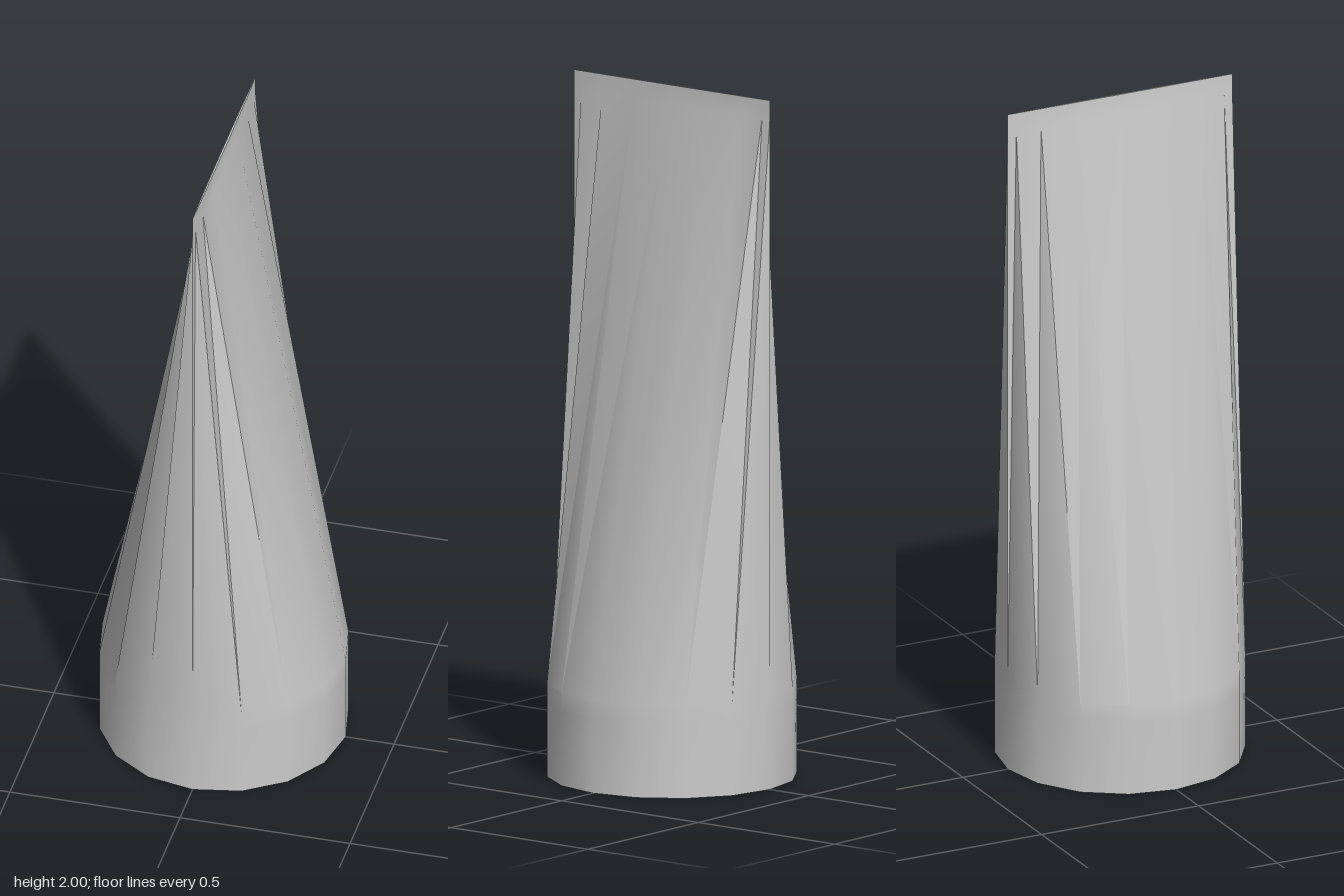
import * as THREE from 'three';
import { toCreasedNormals } from 'three/addons/utils/BufferGeometryUtils.js';

const RADIUS = 0.358;
const SIDES = 16;
// Rings from top to bottom: [height, squash of the circle along x]
const RINGS = [[2, 0.008], [1.945, 0.012], [0.27, 1], [0.215, 1], [0, 1]];

export function createModel() {
  const group = new THREE.Group();
  group.name = 'squeezeTube';

  // Round base pinched into a flat crimped seam at the top
  const steps = RINGS.length - 1;
  const geometry = new THREE.CylinderGeometry(RADIUS, RADIUS, 1, SIDES, steps);
  const pos = geometry.attributes.position;
  for (let i = 0; i < pos.count; i++) {
    const ring = Math.round((0.5 - pos.getY(i)) * steps);
    const [height, squash] = RINGS[ring];
    pos.setX(i, pos.getX(i) * squash);
    pos.setY(i, height);
  }

  const material = new THREE.MeshStandardMaterial({ color: 0xcccccc });
  const body = new THREE.Mesh(toCreasedNormals(geometry, THREE.MathUtils.degToRad(35)), material);
  body.name = 'tubeBody';
  group.add(body);
  return group;
}
